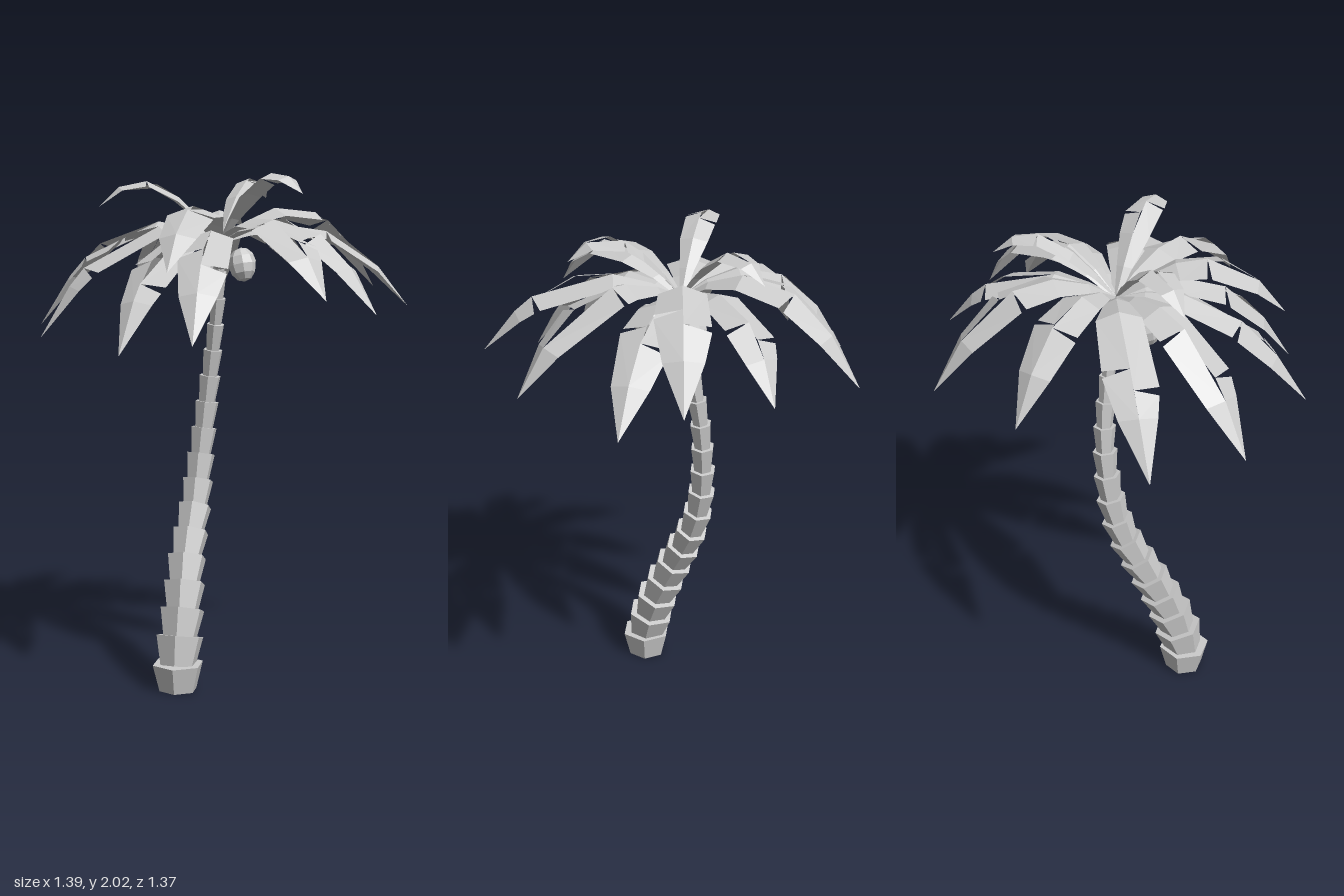
import * as THREE from 'three';

const material = new THREE.MeshStandardMaterial({ color: 0xcccccc, flatShading: true });
const leafMaterial = new THREE.MeshStandardMaterial({ color: 0xcccccc, flatShading: true, side: THREE.DoubleSide });
const UP = new THREE.Vector3(0, 1, 0);
const CROWN = new THREE.Vector3(0.02, 1.75, -0.03);

// Trunk: a stack of flared six-sided segments along a curve
function makeTrunk() {
  const trunk = new THREE.Group();
  trunk.name = 'trunk';
  const path = new THREE.CatmullRomCurve3([
    [-0.273, 0, 0], [-0.265, 0.12, -0.005], [-0.21, 0.31, -0.03], [-0.13, 0.51, -0.075],
    [-0.04, 0.7, -0.11], [0.01, 0.88, -0.125], [0.037, 1.08, -0.117], [0.045, 1.25, -0.098],
    [0.038, 1.45, -0.065], [0.028, 1.6, -0.04], [0.02, 1.74, -0.03],
  ].map(p => new THREE.Vector3(...p)));
  const count = 17;
  for (let i = 0; i < count; i++) {
    const a = path.getPointAt(i / count), b = path.getPointAt((i + 1) / count);
    const dir = b.clone().sub(a), t = i / (count - 1);
    const rim = 0.027 + 0.077 * Math.pow(1 - t, 1.25);
    const length = dir.length() + (i ? 0.012 : 0);
    const segment = new THREE.Mesh(new THREE.CylinderGeometry(rim, rim * 0.74, length, 6), material);
    segment.name = 'trunkSegment';
    dir.normalize();
    segment.position.copy(b).addScaledVector(dir, -length / 2);
    if (i) segment.quaternion.setFromUnitVectors(UP, dir);
    trunk.add(segment);
  }
  return trunk;
}

// Leaf: ridged arching blade; each half is parted by a narrow notch at its own place
function makeLeaf([x, y, z, lift, width, notchA, notchB, bow = 0]) {
  const tip = new THREE.Vector3(x, y, z);
  const out = tip.clone().sub(CROWN).setY(0).normalize();
  const side = new THREE.Vector3().crossVectors(UP, out);
  const control = (f, h) => CROWN.clone().lerp(tip, f).setY(h).addScaledVector(side, bow);
  const rib = new THREE.CubicBezierCurve3(
    CROWN, control(0.33, (CROWN.y + 2 * lift) / 3), control(0.69, (y + 2 * lift) / 3 + 0.09), tip);
  const positions = [];

  const point = (t, u) => {
    const tangent = rib.getTangent(t);
    const normal = new THREE.Vector3().crossVectors(tangent, side).normalize();
    return rib.getPoint(t).addScaledVector(side, u).addScaledVector(normal, -Math.abs(u) * 0.35);
  };
  const tri = (a, b, c) => [a, b, c].forEach(p => positions.push(p.x, p.y, p.z));

  for (const [s, n] of [[1, notchA], [-1, notchB]]) {
    // [position along the rib, position of the edge, half width]
    const pieces = [
      [[0, 0, 0.12], [0.15, 0.15, 0.45], [0.34, 0.34, 0.85], [n, n - 0.012, 0.97]],
      [[n, n + 0.018, 1 - Math.max(0, n - 0.65)], [0.83, 0.83, 0.72], [1, 1, 0]],
    ];
    for (const sections of pieces) {
      for (let i = 0; i < sections.length - 1; i++) {
        const [r0, e0, w0] = sections[i], [r1, e1, w1] = sections[i + 1];
        const a = point(r0, 0), b = point(e0, s * w0 * width);
        const c = point(e1, s * w1 * width), d = point(r1, 0);
        if (s > 0) {
          tri(a, d, b);
          if (w1) tri(d, c, b);
        } else {
          tri(a, b, d);
          if (w1) tri(b, c, d);
        }
      }
    }
  }
  const geometry = new THREE.BufferGeometry();
  geometry.setAttribute('position', new THREE.Float32BufferAttribute(positions, 3));
  geometry.computeVertexNormals();
  const leaf = new THREE.Mesh(geometry, leafMaterial);
  leaf.name = 'leaf';
  return leaf;
}

// Coconut: slightly elongated faceted ball
function makeCoconut([x, y, z, r]) {
  const nut = new THREE.Mesh(new THREE.SphereGeometry(r, 8, 6), material);
  nut.name = 'coconut';
  nut.scale.y = 1.25;
  nut.position.set(x, y, z);
  nut.rotation.set(-(z + 0.03) * 2, 0, (x - 0.02) * 2);
  return nut;
}

export function createModel() {
  const model = new THREE.Group();
  model.name = 'palmTree';
  model.add(makeTrunk());

  // Tip x, y, z, height of the arch, half width, notch on each side, sideways bow
  const leaves = [
    [-0.33, 1.41, -0.69, 1.97, 0.1, 0.74, 0.66, -0.045], [0.19, 1.5, -0.64, 1.99, 0.095, 0.62, 0.6],
    [0.57, 1.5, -0.5, 2.04, 0.1, 0.55, 0.62], [0.69, 1.55, -0.08, 1.93, 0.09, 0.74, 0.64, 0.045],
    [0.66, 1.56, 0.26, 2.05, 0.105, 0.68, 0.6], [0.59, 1.49, 0.48, 1.92, 0.1, 0.65, 0.55],
    [0.1, 1.49, 0.67, 1.98, 0.105, 0.42, 0.64], [-0.23, 1.56, 0.68, 1.97, 0.1, 0.74, 0.52],
    [-0.57, 1.4, 0.34, 1.91, 0.1, 0.7, 0.6], [-0.57, 1.66, 0.22, 2.02, 0.1, 0.62, 0.52],
    [-0.7, 1.36, 0.1, 1.89, 0.095, 0.76, 0.64, -0.025], [-0.6, 1.39, -0.41, 1.94, 0.1, 0.75, 0.52],
    [0.46, 1.92, -0.15, 2.06, 0.06, 0.62, 0.55], [-0.02, 1.94, 0.41, 2.08, 0.07, 0.5, 0.62],
    [-0.34, 1.89, -0.34, 2.06, 0.065, 0.6, 0.52],
  ];
  const crown = new THREE.Group();
  crown.name = 'crown';
  leaves.forEach(l => crown.add(makeLeaf(l)));
  model.add(crown);

  // Three coconuts around a small knob on the trunk top
  const coconuts = new THREE.Group();
  coconuts.name = 'coconuts';
  [[-0.1, 1.635, -0.03, 0.053], [0, 1.665, 0.1, 0.053], [0.155, 1.665, -0.02, 0.05], [0.02, 1.69, -0.03, 0.04]]
    .forEach(n => coconuts.add(makeCoconut(n)));
  model.add(coconuts);
  return model;
}
